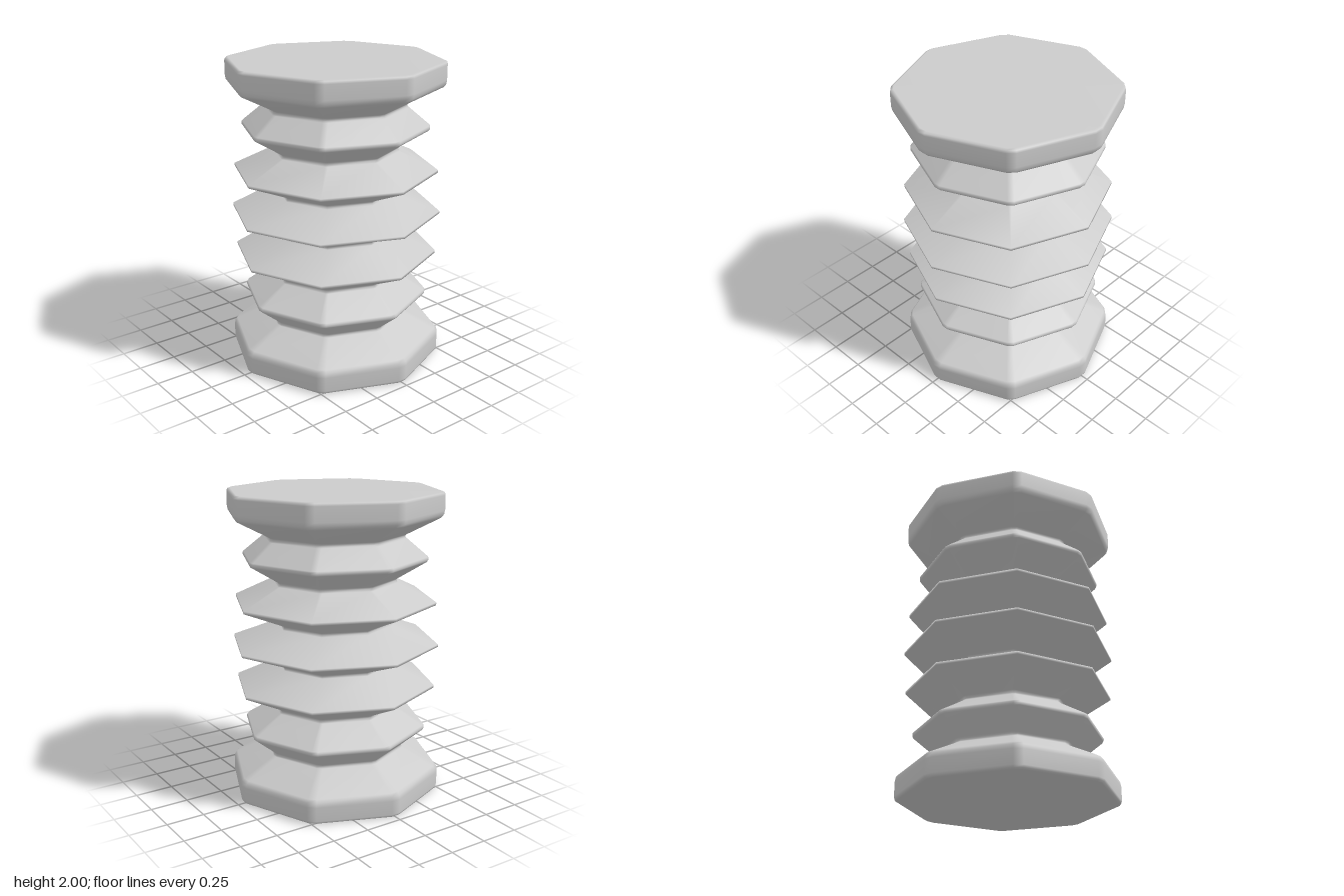
import * as THREE from 'three';
import { mergeVertices } from 'three/addons/utils/BufferGeometryUtils.js';

const SIDES = 8;

// Lower half of the profile: [radius at corner, height, half width of the corner bevel]
const lowerHalf = [
  // end pad
  [0.687, 0, 0.025], [0.702, 0.007, 0.028], [0.707, 0.022, 0.03],
  [0.707, 0.115, 0.03], [0.702, 0.143, 0.03], [0.686, 0.162, 0.028],
  // first neck
  [0.468, 0.275, 0.018], [0.462, 0.283, 0.018], [0.462, 0.294, 0.018], [0.47, 0.302, 0.018],
  // small fold
  [0.607, 0.415, 0.02], [0.612, 0.424, 0.02], [0.612, 0.436, 0.02], [0.605, 0.446, 0.02],
  // second neck
  [0.418, 0.562, 0.01], [0.408, 0.575, 0.01], [0.418, 0.59, 0.01],
  // large fold
  [0.672, 0.711, 0], [0.672, 0.729, 0],
  // third neck
  [0.384, 0.852, 0], [0.382, 0.866, 0], [0.39, 0.876, 0],
  // middle fold
  [0.692, 0.992, 0],
];

function createBellowsGeometry() {
  // mirror the profile about the middle height
  const rings = [...lowerHalf, ...lowerHalf.map(([r, y, c]) => [r, 2 - y, c]).reverse()];
  const n = SIDES * 2;
  const positions = [];
  const index = [];

  // octagonal rings with every corner cut by a narrow bevel
  for (const [r, y, c] of rings) {
    for (let k = 0; k < SIDES; k++) {
      const a = (k / SIDES) * Math.PI * 2;
      const s = Math.sin(a), t = Math.cos(a);
      for (const w of [-c, c]) positions.push(r * s + w * t, y, r * t - w * s);
    }
  }
  for (let i = 0; i < rings.length - 1; i++) {
    for (let j = 0; j < n; j++) {
      const a = i * n + j, b = i * n + ((j + 1) % n);
      index.push(a, b, b + n, a, b + n, a + n);
    }
  }

  // flat end caps
  const bottom = positions.length / 3, top = bottom + 1;
  positions.push(0, 0, 0, 0, 2, 0);
  const last = (rings.length - 1) * n;
  for (let j = 0; j < n; j++) {
    const k = (j + 1) % n;
    index.push(bottom, k, j, top, last + j, last + k);
  }

  const geometry = new THREE.BufferGeometry();
  geometry.setAttribute('position', new THREE.Float32BufferAttribute(positions, 3));
  geometry.setIndex(index);
  // weld unbevelled corners so the flat folds shade smoothly
  const welded = mergeVertices(geometry);
  welded.computeVertexNormals();
  return welded;
}

export function createModel() {
  const group = new THREE.Group();
  group.name = 'octagonalBellows';
  const body = new THREE.Mesh(
    createBellowsGeometry(),
    new THREE.MeshStandardMaterial({ color: 0xcccccc })
  );
  body.name = 'bellowsBody';
  group.add(body);
  return group;
}
